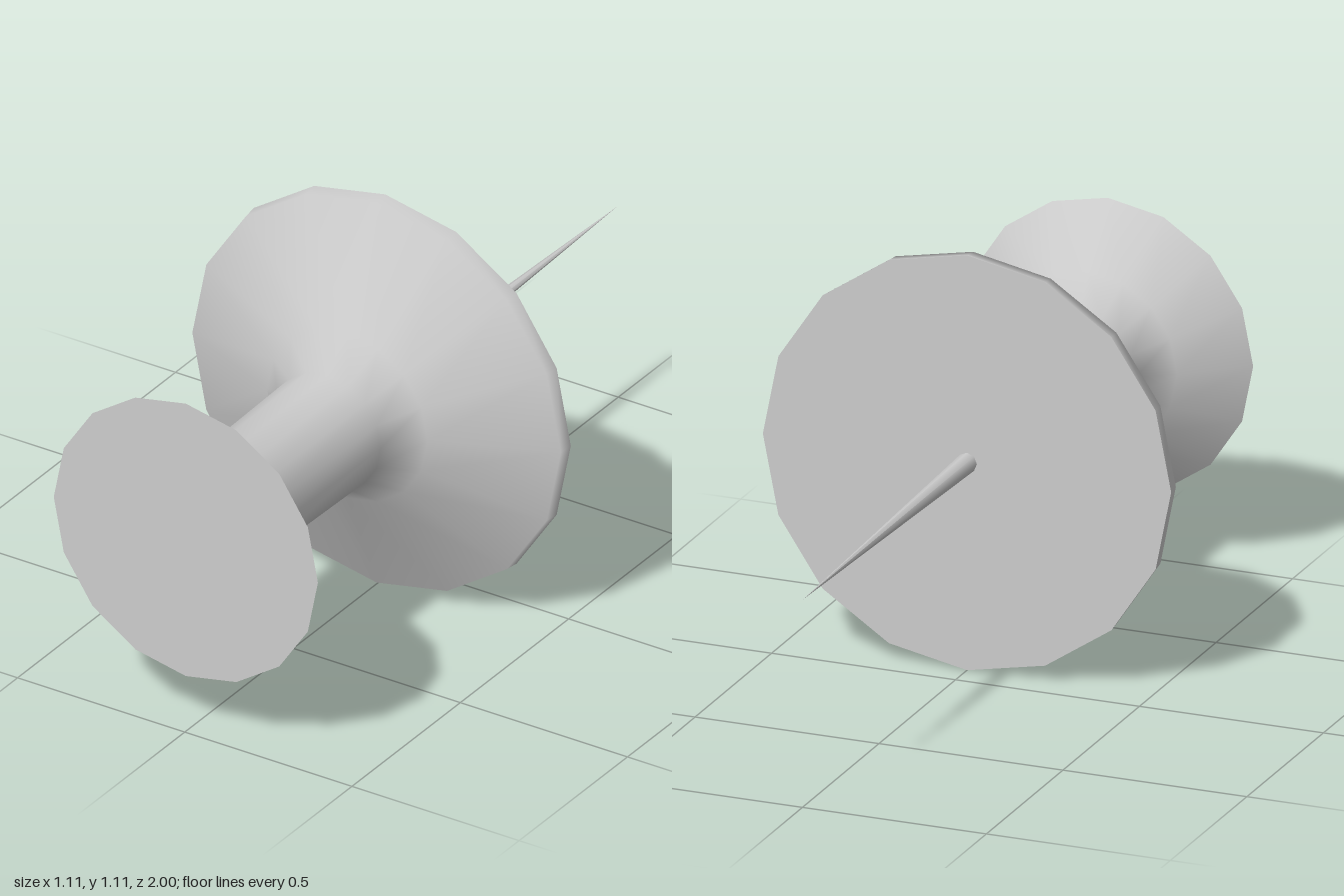
import * as THREE from 'three';

const SIDES = 16;
const AXIS_HEIGHT = 0.555;

export function createModel() {
  const group = new THREE.Group();
  group.name = 'pushPin';
  const material = new THREE.MeshStandardMaterial({ color: 0xcccccc });

  // Turns a profile of [z, radius] pairs around the pin's horizontal axis.
  function turned(name, profile, sides) {
    const points = profile.map(([z, r]) => new THREE.Vector2(r, z));
    const geometry = new THREE.LatheGeometry(points, sides);
    geometry.rotateX(Math.PI / 2);
    return add(name, geometry);
  }

  function add(name, geometry) {
    const mesh = new THREE.Mesh(geometry, material);
    mesh.name = name;
    mesh.position.y = AXIS_HEIGHT;
    group.add(mesh);
    return mesh;
  }

  // Plastic handle: wide collar, waisted grip, flared head
  turned('handle', [
    [0.075, 0.555], [0.115, 0.551], [0.25, 0.24], [0.345, 0.161],
    [0.81, 0.153], [0.87, 0.24], [0.995, 0.395],
  ], SIDES);

  // End faces of the handle
  const headFace = add('headFace', new THREE.CircleGeometry(0.395, SIDES));
  headFace.position.z = 0.995;
  const collarFace = add('collarFace', new THREE.CircleGeometry(0.555, SIDES));
  collarFace.rotation.y = Math.PI;
  collarFace.position.z = 0.075;

  // Tapered needle, set slightly into the collar
  turned('needle', [[-1, 0], [0.08, 0.027]], 8);

  return group;
}
